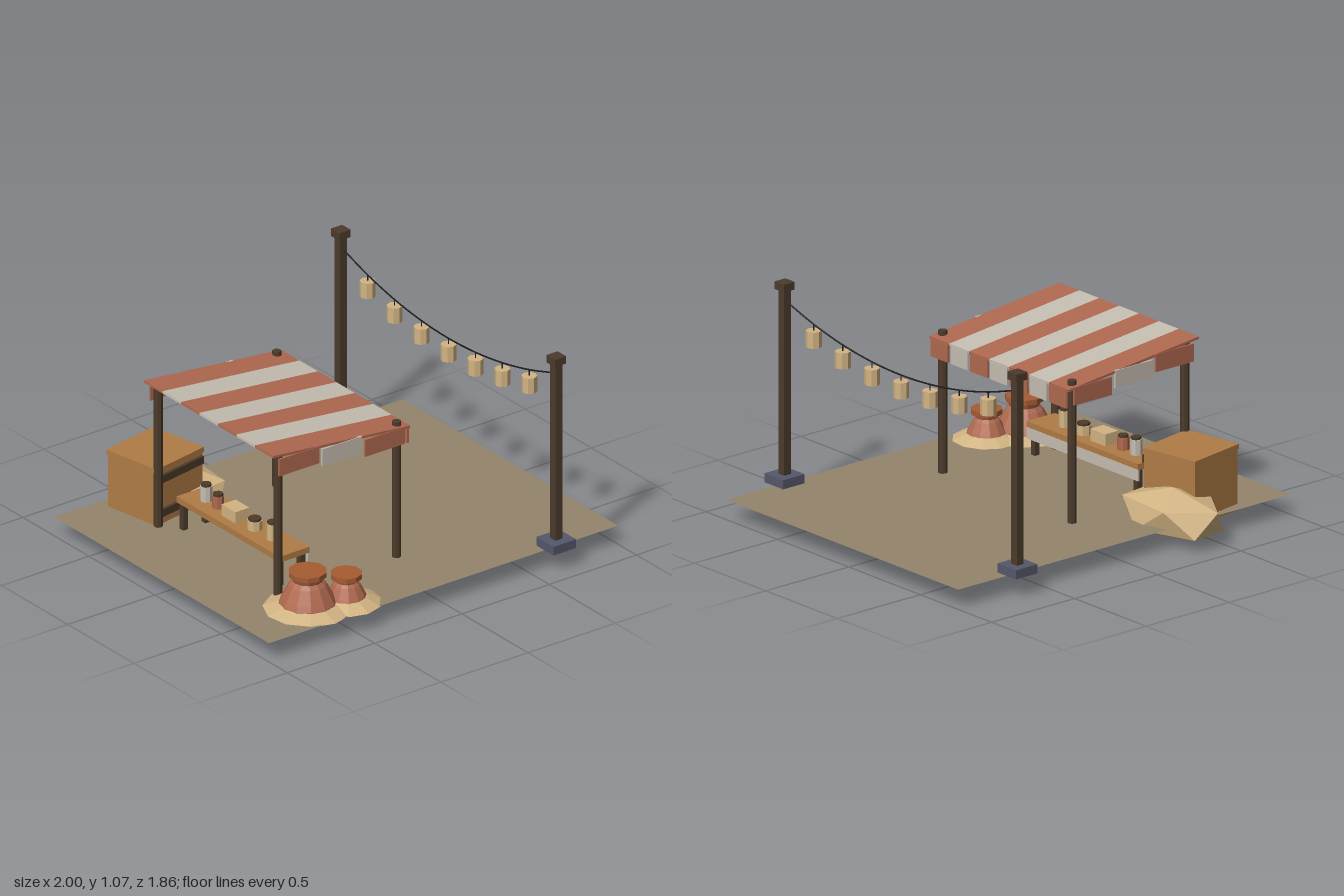
import * as THREE from 'three';
import { ConvexGeometry } from 'three/addons/geometries/ConvexGeometry.js';

const mat = (name, color) => {
  const m = new THREE.MeshStandardMaterial({ color, flatShading: true });
  m.name = name;
  return m;
};

export function createModel() {
  const root = new THREE.Group();
  const M = {
    ground: mat('packed earth', 0x95846c),
    clay: mat('terracotta', 0xb0694f),
    cloth: mat('pale cloth', 0xc6beb2),
    wood: mat('orange wood', 0xb07c45),
    dark: mat('dark wood', 0x4c3b2b),
    slate: mat('slate', 0x54586a),
    sand: mat('sand', 0xd2b483),
    lid: mat('burnt orange', 0xa65c32),
    wire: mat('black wire', 0x1b1b20),
  };
  M.ground.side = THREE.DoubleSide;
  M.clay.side = THREE.DoubleSide;

  const add = (name, geo, m, x, y, z, parent = root) => {
    const mesh = new THREE.Mesh(geo, m);
    mesh.name = name;
    mesh.position.set(x, y, z);
    parent.add(mesh);
    return mesh;
  };
  // boxes and cylinders are placed by the height of their base
  const box = (name, m, w, h, d, x, y, z, parent) =>
    add(name, new THREE.BoxGeometry(w, h, d), m, x, y + h / 2, z, parent);
  const cyl = (name, m, rTop, rBottom, h, sides, x, y, z, parent) =>
    add(name, new THREE.CylinderGeometry(rTop, rBottom, h, sides), m, x, y + h / 2, z, parent);
  const group = (name, parent = root) => {
    const g = new THREE.Group();
    g.name = name;
    parent.add(g);
    return g;
  };
  const G = 0.1; // ground level

  add('ground', new THREE.PlaneGeometry(2, 1.627).rotateX(-Math.PI / 2), M.ground, 0, G, 0.048);

  // Lantern posts
  const lightX = 0.644, zA = 0.863, zB = -0.766;
  for (const z of [zA, zB]) {
    const post = group('lanternPost');
    box('postBase', M.slate, 0.13, 0.044, 0.13, lightX, G, z, post);
    box('postShaft', M.dark, 0.04, 0.94, 0.04, lightX, G, z, post);
    box('postCap', M.dark, 0.065, 0.037, 0.065, lightX, 1.037, z, post);
  }

  // Sagging wire with seven lanterns
  const sag = t => 0.985 - 0.58 * t * (1 - t);
  const at = t => new THREE.Vector3(lightX, sag(t), zA + (zB - zA) * t);
  const path = new THREE.CatmullRomCurve3(Array.from({ length: 9 }, (_, i) => at(i / 8)));
  add('wire', new THREE.TubeGeometry(path, 32, 0.004, 5), M.wire, 0, 0, 0);
  for (let i = 1; i < 8; i++) {
    const p = at(i / 8), lantern = group('lantern');
    cyl('hanger', M.wire, 0.003, 0.003, 0.032, 5, p.x, p.y - 0.03, p.z, lantern);
    cyl('lanternShade', M.sand, 0.037, 0.037, 0.078, 8, p.x, p.y - 0.107, p.z, lantern);
  }

  // Stall frame
  for (const z of [0.5, -0.405]) {
    cyl('frontStallPost', M.dark, 0.021, 0.021, 0.69, 8, 0.004, G, z);
    cyl('backStallPost', M.dark, 0.021, 0.021, 0.72, 8, -0.675, G, z);
  }

  // Striped sloping awning
  const stripe = i => (i % 2 ? M.cloth : M.clay);
  const awning = group('awning');
  awning.position.set(-0.335, 0.797, 0.045);
  awning.rotation.z = -0.1;
  for (let i = 0; i < 7; i++)
    box('awningStripe', stripe(i), 0.787, 0.012, 0.1395, 0, -0.006, (i - 3) * 0.1395, awning);

  // Hanging valance flaps along the front and both sides
  for (let i = 0; i < 7; i++)
    box('frontFlap', stripe(i), 0.01, 0.088, 0.12, 0.055, 0.67, 0.045 + (i - 3) * 0.1385);
  [[-0.58, 0.73], [-0.335, 0.708], [-0.088, 0.682]].forEach(([x, y], i) => {
    for (const z of [0.532, -0.442]) box('sideFlap', stripe(i), 0.228, 0.086, 0.01, x, y, z);
  });

  // Counter table
  const table = group('table');
  box('tableTop', M.wood, 0.17, 0.03, 0.78, -0.535, 0.23, 0.05, table);
  box('tableCloth', M.cloth, 0.009, 0.055, 0.78, -0.453, 0.177, 0.05, table);
  for (const x of [-0.6, -0.475])
    for (const z of [0.41, -0.31]) box('tableLeg', M.dark, 0.028, 0.13, 0.028, x, G, z, table);

  // Goods on the counter: material, radius, height, z
  const goods = group('goods');
  for (const [m, r, h, z] of [
    [M.sand, 0.028, 0.08, 0.273], [M.sand, 0.036, 0.045, 0.14],
    [M.clay, 0.028, 0.06, -0.137], [M.cloth, 0.029, 0.074, -0.227],
  ]) {
    cyl('jar', m, r, r, h, 8, -0.535, 0.26, z, goods);
    cyl('jarLid', M.dark, r * 0.85, r * 0.85, 0.012, 8, -0.535, 0.26 + h, z, goods);
  }
  box('parcel', M.sand, 0.08, 0.058, 0.105, -0.535, 0.26, -0.005, goods);

  // Tilted crate half sunk at the edge
  const crate = group('crate');
  crate.position.set(-0.558, 0.07, -0.583);
  crate.rotation.y = 0.18;
  box('crateBody', M.wood, 0.31, 0.3, 0.3, 0, 0, 0, crate);
  box('crateLid', M.wood, 0.32, 0.025, 0.31, 0, 0.295, 0, crate);
  for (const y of [0.07, 0.243]) box('crateBand', M.dark, 0.3, 0.038, 0.03, 0, y, 0.15, crate);

  // Boulder: two staggered rings of five between two poles
  const points = [new THREE.Vector3(0, 0.122, 0), new THREE.Vector3(0, -0.122, 0)];
  for (let i = 0; i < 10; i++) {
    const a = (i * Math.PI) / 5;
    points.push(new THREE.Vector3(0.17 * Math.sin(a), i % 2 ? -0.06 : 0.06, -0.275 * Math.cos(a)));
  }
  add('boulder', new ConvexGeometry(points), M.sand, -0.385, 0.127, -0.66).rotation.y = 0.13;

  // Lidded clay pots on sand mounds
  const profile = [[0.125, 0], [0.134, 0.03], [0.122, 0.055], [0.087, 0.12], [0.07, 0.138], [0.08, 0.162]];
  for (const [x, z, s, sy, lidR, mound] of [
    [-0.632, 0.668, 1, 1, 0.09, 0.213], [-0.455, 0.727, 0.72, 0.75, 0.074, 0.165],
  ]) {
    const pot = group('pot');
    cyl('sandMound', M.sand, mound * 0.6, mound, 0.032, 11, x, G - 0.002, z, pot);
    const body = profile.map(([r, y]) => new THREE.Vector2(r * s, y * sy));
    add('potBody', new THREE.LatheGeometry(body, 12), M.clay, x, G, z, pot);
    cyl('potLid', M.lid, lidR, lidR, 0.024, 10, x, G + 0.162 * sy, z, pot);
  }
  return root;
}
